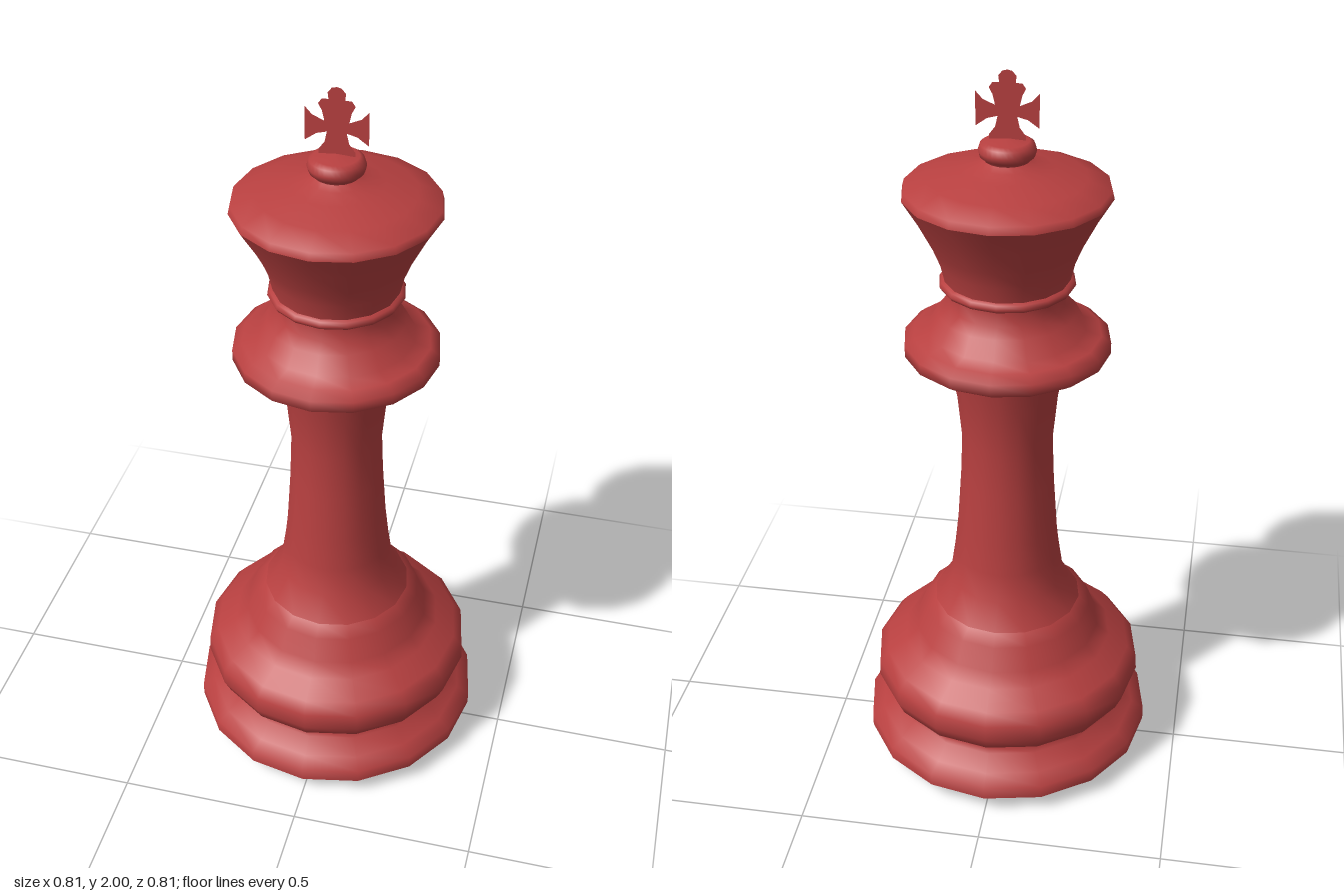
import * as THREE from 'three';

export function createModel() {
  const group = new THREE.Group();
  group.name = 'chessKing';
  const red = new THREE.MeshStandardMaterial({ color: 0xb84040 });
  red.name = 'red';
  red.side = THREE.DoubleSide;

  const add = (name, geometry) => {
    const mesh = new THREE.Mesh(geometry, red);
    mesh.name = name;
    group.add(mesh);
  };
  // Turned part from [radius, height] pairs, listed bottom to top
  const turn = (name, points, sides = 16) =>
    add(name, new THREE.LatheGeometry(points.map(([r, y]) => new THREE.Vector2(r, y)), sides));

  // Shallow cone under the foot
  turn('underside', [[0, 0], [0.39, 0.042], [0.405, 0.052]]);

  // Foot, bulging base and waisted stem
  turn('foot', [[0.405, 0.052], [0.405, 0.09], [0.37, 0.112], [0.33, 0.15], [0.325, 0.168]]);
  turn('base', [
    [0.325, 0.168], [0.36, 0.2], [0.378, 0.24], [0.375, 0.285], [0.35, 0.315],
    [0.295, 0.352], [0.26, 0.385], [0.235, 0.45], [0.205, 0.478],
  ]);
  turn('stem', [
    [0.205, 0.478], [0.16, 0.55], [0.148, 0.63], [0.138, 0.72], [0.128, 0.87],
    [0.123, 1.0], [0.135, 1.13], [0.16, 1.25],
  ]);

  // Collar under the head
  turn('collarUnderside', [[0.16, 1.25], [0.248, 1.25]]);
  turn('collar', [
    [0.248, 1.25], [0.27, 1.265], [0.27, 1.295], [0.245, 1.313], [0.205, 1.325],
    [0.18, 1.372], [0.15, 1.393], [0.15, 1.44],
  ]);
  turn('neckRing', [[0.15, 1.44], [0.17, 1.443], [0.176, 1.453], [0.17, 1.462], [0.162, 1.466]]);

  // Flared head with a low domed top
  turn('head', [[0.162, 1.466], [0.172, 1.51], [0.19, 1.555], [0.226, 1.625], [0.265, 1.69]]);
  turn('crownTop', [
    [0.265, 1.69], [0.26, 1.71], [0.2, 1.734], [0.12, 1.754], [0.075, 1.766], [0.055, 1.778],
  ]);
  turn('knob', [
    [0.055, 1.772], [0.058, 1.782], [0.068, 1.788], [0.072, 1.802],
    [0.067, 1.818], [0.055, 1.826], [0, 1.83],
  ], 32);

  // Paper-thin cross: right half outline, mirrored
  const half = [
    [0.045, 1.825], [0.045, 1.838], [0.03, 1.858], [0.024, 1.885], [0.05, 1.878],
    [0.078, 1.858], [0.078, 1.945], [0.06, 1.925], [0.03, 1.912], [0.036, 1.938],
    [0.045, 1.955], [0.036, 1.968], [0.02, 1.968], [0.022, 1.985], [0.012, 1.997],
  ];
  const outline = [...half, [0, 2], ...half.map(([x, y]) => [-x, y]).reverse()];
  add('cross', new THREE.ShapeGeometry(
    new THREE.Shape(outline.map(([x, y]) => new THREE.Vector2(x, y)))));

  return group;
}
